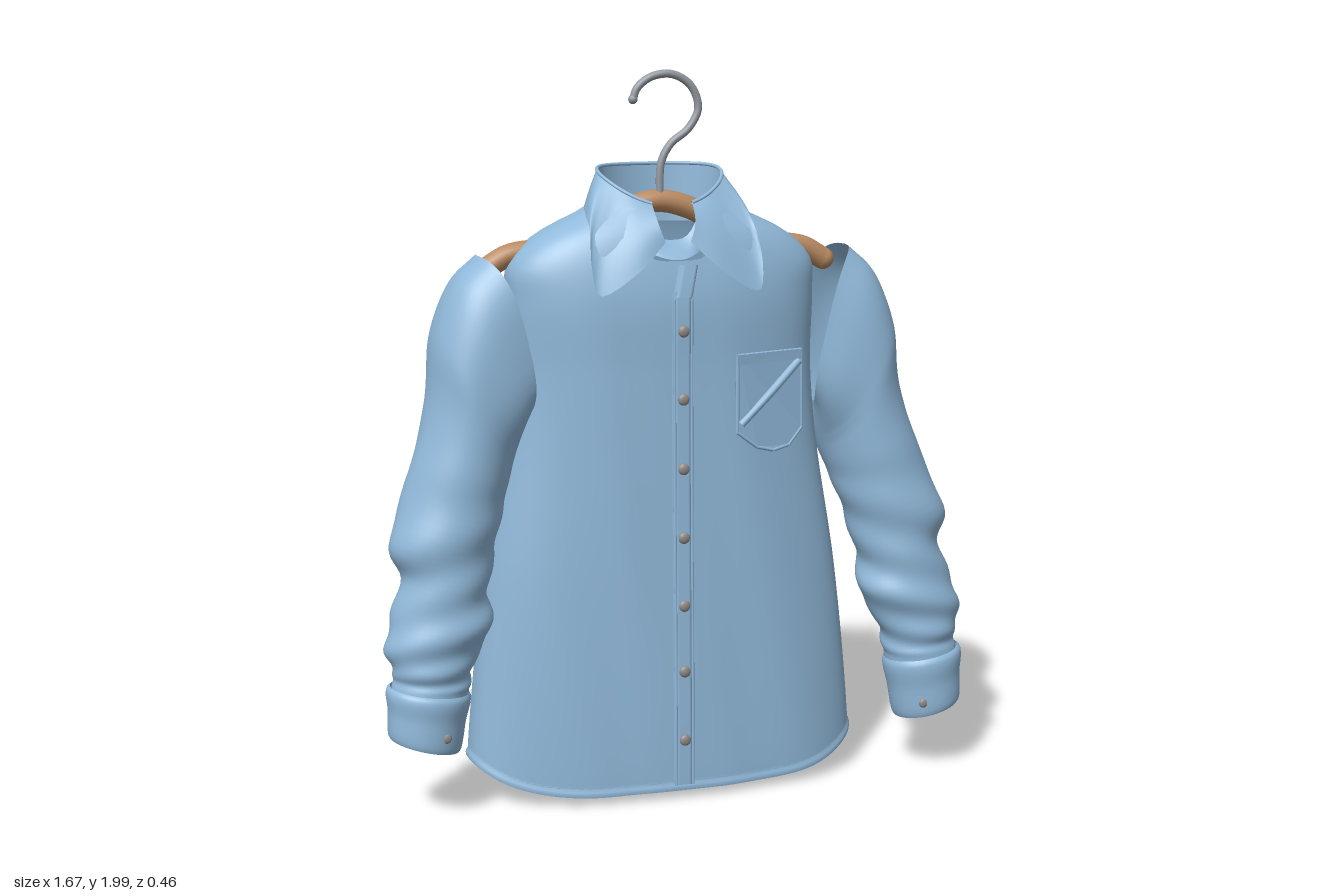
import * as THREE from 'three';
import { mergeVertices } from 'three/addons/utils/BufferGeometryUtils.js';

const CX = -0.03; // centre line of the shirt
const { lerp, smoothstep } = THREE.MathUtils;

// Smooth lookup through rows of [key, value, value, ...]
function table(rows) {
  const size = rows[0].length - 1;
  const f = new THREE.CubicInterpolant(rows.map(r => r[0]), rows.flatMap(r => r.slice(1)), size, new Float32Array(size));
  return t => Array.from(f.evaluate(t));
}

// Grid surface from fn(u, v) -> [x, y, z]
function surface(fn, nu, nv) {
  const pos = [], idx = [];
  for (let j = 0; j <= nv; j++) for (let i = 0; i <= nu; i++) pos.push(...fn(i / nu, j / nv));
  for (let j = 0; j < nv; j++) for (let i = 0; i < nu; i++) {
    const a = j * (nu + 1) + i, b = a + 1, c = a + nu + 1, d = c + 1;
    idx.push(a, b, d, a, d, c);
  }
  let g = new THREE.BufferGeometry();
  g.setAttribute('position', new THREE.Float32BufferAttribute(pos, 3));
  g.setIndex(idx);
  g = mergeVertices(g, 1e-5);
  g.computeVertexNormals();
  return g;
}

// Torso profile: height, half width, front z, back z
const torso = table([
  [0, 0.565, 0.2, -0.2], [0.12, 0.56, 0.2, -0.2], [0.6, 0.51, 0.19, -0.205], [1, 0.445, 0.182, -0.222],
  [1.2, 0.428, 0.18, -0.232], [1.4, 0.432, 0.18, -0.22], [1.48, 0.428, 0.168, -0.205], [1.53, 0.39, 0.157, -0.195],
  [1.57, 0.335, 0.145, -0.185], [1.6, 0.275, 0.13, -0.175], [1.63, 0.21, 0.115, -0.16], [1.66, 0.18, 0.1, -0.145],
]);
const POW = 2.4;
const signedPow = (s, p) => Math.sign(s) * Math.abs(s) ** p;
const hemY = a => 0.022 + 0.012 * Math.cos(a) + 0.1 * Math.abs(Math.sin(a)) ** 4;
const neckY = a => 1.5 + 0.14 * smoothstep(Math.abs(Math.atan2(Math.sin(a), Math.cos(a))), 0.06, 0.5);

// Point on the torso at angle a (0 = front) and height y, pushed out by off
function torsoPoint(a, y, off = 0) {
  const [w, zf, zb] = torso(y);
  const s = signedPow(Math.sin(a), 2 / POW), c = signedPow(Math.cos(a), 2 / POW);
  const x = (w + off) * s;
  const soft = 1 - smoothstep(y, 1.1, 1.55);
  const fold = c < 0 ? 0.009 * Math.cos(x * 24) * soft
    : 0.005 * Math.sin(x * 19 + y * 5) * soft * smoothstep(Math.abs(x), 0.06, 0.2);
  return [CX + x, y, c * ((c > 0 ? zf : -zb) + off) + fold * Math.abs(c)];
}
function frontZ(x, y) {
  const [w, zf] = torso(y);
  return zf * Math.max(0, 1 - Math.abs((x - CX) / w) ** POW) ** (1 / POW);
}

// Sleeve rings: step, inner x y, outer x y, back z, front z
const sleeve = table([
  [0, 0.405, 1.08, 0.505, 1.515, -0.13, 0.15], [1, 0.41, 1.03, 0.58, 1.44, -0.15, 0.17],
  [2, 0.42, 0.98, 0.635, 1.3, -0.15, 0.178], [3, 0.44, 0.92, 0.655, 1.13, -0.13, 0.182],
  [4, 0.47, 0.84, 0.71, 0.95, -0.095, 0.19], [5, 0.505, 0.73, 0.785, 0.77, -0.06, 0.2],
  [6, 0.535, 0.62, 0.77, 0.66, -0.04, 0.2], [7, 0.535, 0.53, 0.81, 0.55, -0.015, 0.215],
  [8, 0.585, 0.44, 0.828, 0.465, 0, 0.213], [9, 0.605, 0.37, 0.81, 0.405, 0.015, 0.21],
  [10, 0.612, 0.325, 0.818, 0.36, 0.02, 0.212],
]);
const cuff = table([
  [0, 0.61, 0.33, 0.822, 0.365, 0.02, 0.212], [0.06, 0.606, 0.322, 0.83, 0.36, 0.014, 0.219],
  [0.5, 0.621, 0.243, 0.831, 0.286, 0.02, 0.218],
  [0.94, 0.636, 0.165, 0.831, 0.212, 0.026, 0.216], [1, 0.64, 0.158, 0.828, 0.206, 0.029, 0.213],
]);

function armPoint(rings, side, t, u) {
  const [xi, yi, xo, yo, zb, zf] = rings(t);
  const isSleeve = rings === sleeve;
  const a = u * Math.PI * 2, p = isSleeve ? 2 / lerp(3.2, 2, Math.min(1, t / 2.5)) : 1;
  const c = signedPow(Math.cos(a), p), s = signedPow(Math.sin(a), p), k = (1 + c) / 2;
  const bow = isSleeve ? 0.055 * s * s * Math.max(0, 1 - t / 2) : 0; // armhole curves onto the torso
  const crease = isSleeve
    ? 0.005 * Math.sin(t * 5 + a * 2) * smoothstep(t, 3, 5) * (1 - smoothstep(t, 9, 9.8)) : 0;
  const y = lerp(yi, yo, k);
  const x = lerp(xi, xo, k) - bow + crease * c;
  const shift = side < 0 ? 0.04 * smoothstep(y, 0.3, 1.2) : 0;
  return [side * (x + shift), y + (side < 0 ? 0.03 * (1 - smoothstep(y, 0.2, 0.5)) : 0),
    (zf + zb) / 2 + s * ((zf - zb) / 2 + crease)];
}

// Lower edge of the folded collar: angle from front, x offset, y, z
const collarEdge = table([
  [0.33, 0.035, 1.55, 0.16], [0.6, 0.115, 1.475, 0.186], [0.85, 0.22, 1.415, 0.184], [1.05, 0.238, 1.48, 0.165],
  [1.3, 0.232, 1.58, 0.12], [1.7, 0.218, 1.622, 0.0], [2.4, 0.155, 1.612, -0.155], [Math.PI, 0, 1.605, -0.195],
]);
const collarAngle = u => lerp(-Math.PI + 0.33, Math.PI - 0.33, u) + Math.PI; // through the back
const collarTop = a => [CX + 0.003 + 0.174 * Math.sin(a), 1.74 - 0.1 * ((1 + Math.cos(a)) / 2) ** 3, -0.022 + 0.122 * Math.cos(a)];

function collarLeaf(u, v) {
  const a = collarAngle(u), side = a > Math.PI ? -1 : 1;
  const [ex, ey, ez] = collarEdge(side > 0 ? a : 2 * Math.PI - a);
  const [tx, ty, tz] = collarTop(a), puff = lerp(0.002, 0.018, smoothstep(Math.cos(a), -0.2, 0.7)) * Math.sin(Math.PI * v);
  return [lerp(tx, CX + side * ex, v) + puff * Math.sin(a), lerp(ty, ey, v), lerp(tz, ez, v) + puff * Math.cos(a)];
}
// Inner band, closed low at the throat
function collarStand(u, v) {
  const a = u * Math.PI * 2, c = Math.cos(a), [x, y, z] = collarTop(a);
  const top = y - 0.09 * smoothstep(c, 0.82, 1);
  return [CX + (x - CX) * (1 - 0.03 * v), lerp(top, 1.58 - 0.08 * Math.max(0, c) ** 3, v),
    z * (1 - 0.03 * v) + 0.05 * v * Math.max(0, c) ** 4];
}

export function createModel() {
  const group = new THREE.Group();
  const material = (name, color, side = THREE.FrontSide) => {
    const m = new THREE.MeshStandardMaterial({ color, side });
    m.name = name;
    return m;
  };
  const cloth = material('blue cloth', 0x91b9da, THREE.DoubleSide);
  const wood = material('hanger wood', 0xb98a62);
  const metal = material('hook metal', 0x939aa1);
  const buttonGrey = material('button grey', 0x8f8a86);
  const add = (name, geometry, mat) => {
    const mesh = new THREE.Mesh(geometry, mat);
    mesh.name = name;
    group.add(mesh);
    return mesh;
  };
  const tube = (points, r, n = 48) => new THREE.TubeGeometry(
    new THREE.CatmullRomCurve3(points.map(p => new THREE.Vector3(...p))), n, r, 12);

  // Torso and hem band
  add('torso', surface((u, v) => {
    const a = u * Math.PI * 2;
    return torsoPoint(a, lerp(hemY(a), neckY(a), v));
  }, 120, 70), cloth);
  add('hemBand', surface((u, v) => {
    const a = u * Math.PI * 2;
    return torsoPoint(a, hemY(a) + 0.03 * v - 0.004, 0.005 * Math.sin(Math.PI * Math.min(1, v + 0.25)));
  }, 120, 4), cloth);

  // Sleeves and cuffs
  for (const side of [1, -1]) {
    const label = side > 0 ? 'left' : 'right';
    add(label + 'Sleeve', surface((u, v) => armPoint(sleeve, side, v * 10, u), 48, 70), cloth);
    add(label + 'Cuff', surface((u, v) => armPoint(cuff, side, v, u), 40, 16), cloth);
  }

  // Collar
  add('collarLeaf', surface(collarLeaf, 100, 10), cloth);
  add('collarStand', surface(collarStand, 80, 4), cloth);
  add('collarFold', tube(Array.from({ length: 41 }, (_, i) => collarTop(collarAngle(i / 40))), 0.005, 80), cloth);

  // Button placket, a raised strip along the front, and the throat tab above it
  add('placket', surface((u, v) => {
    const x = -0.026 + lerp(-0.028, 0.028, u), y = lerp(0.05, 1.42, v);
    return [x, y, frontZ(x, y) + (u === 0 || u === 1 ? -0.002 : 0.014)];
  }, 8, 50), cloth);
  add('throatTab', surface((u, v) => {
    const y = lerp(1.405, 1.49, v), x = lerp(-0.05, 0.004, u) + 0.02 * v;
    return [x, y, frontZ(x, y) + (u === 0 || u === 1 ? 0 : 0.02)];
  }, 8, 4), cloth);
  for (const x of [-0.05, -0.002])
    add('placketEdge', tube([0.05, 0.4, 0.8, 1.2, 1.4].map(y => [x, y, frontZ(x, y) + 0.013]), 0.004), cloth);

  // Buttons
  const button = (name, x, y, z, r) => {
    const g = new THREE.SphereGeometry(r, 16, 10);
    g.scale(1, 1, 0.5);
    add(name, g, buttonGrey).position.set(x, y, z);
  };
  for (const y of [0.18, 0.375, 0.56, 0.75, 0.94, 1.13, 1.315]) button('frontButton', -0.026, y, frontZ(-0.026, y) + 0.018, 0.016);
  button('leftCuffButton', 0.69, 0.215, 0.208, 0.014);
  button('rightCuffButton', -0.69, 0.248, 0.208, 0.014);

  // Chest pocket with a top band, piping and a diagonal crease
  const outline = [[0.13, 1.24], [0.13, 1.03], [0.19, 0.985], [0.24, 0.972], [0.29, 0.982], [0.335, 1.025], [0.335, 1.24]];
  const drape = g => {
    const p = g.attributes.position;
    for (let i = 0; i < p.count; i++) p.setZ(i, p.getZ(i) + frontZ(p.getX(i), p.getY(i)));
    g.computeVertexNormals();
    return g;
  };
  const plate = (pts, depth) => drape(new THREE.ExtrudeGeometry(
    new THREE.Shape(pts.map(p => new THREE.Vector2(...p))), { depth, bevelEnabled: false }));
  add('pocket', plate(outline, 0.016), cloth);
  add('pocketBand', plate([[0.128, 1.215], [0.337, 1.215], [0.337, 1.243], [0.128, 1.243]], 0.021), cloth);
  outline.forEach((p, i) => {
    const q = outline[(i + 1) % outline.length];
    add('pocketPiping', tube([p, q].map(([x, y]) => [x, y, frontZ(x, y) + 0.013]), 0.005, 2), cloth);
  });
  add('pocketCrease', tube([[0.14, 1.05], [0.23, 1.13], [0.325, 1.21]].map(([x, y]) => [x, y, frontZ(x, y) + 0.014]), 0.011), cloth);

  // Hanger bar with rounded ends, and its wire hook
  const half = [[0.485, 1.472], [0.42, 1.508], [0.3, 1.525], [0.2, 1.56], [0.1, 1.62]];
  const bar = [...half.map(([x, y]) => [CX - x, y, -0.03]), [CX, 1.645, -0.03],
    ...half.slice().reverse().map(([x, y]) => [CX + x, y, -0.03])];
  add('hangerBar', tube(bar, 0.031, 64), wood);
  for (const p of [bar[0], bar[bar.length - 1]])
    add('hangerEnd', new THREE.SphereGeometry(0.031, 16, 12), wood).position.set(...p);
  const hook = [[-0.027, 1.65], [-0.022, 1.75], [0.005, 1.8], [0.055, 1.84], [0.083, 1.895], [0.062, 1.955],
    [0.01, 1.986], [-0.05, 1.98], [-0.09, 1.95], [-0.102, 1.92]].map(([x, y]) => [x, y, -0.022]);
  add('hook', tube(hook, 0.011, 80), metal);
  add('hookTip', new THREE.SphereGeometry(0.013, 14, 10), metal).position.set(...hook[hook.length - 1]);

  return group;
}
